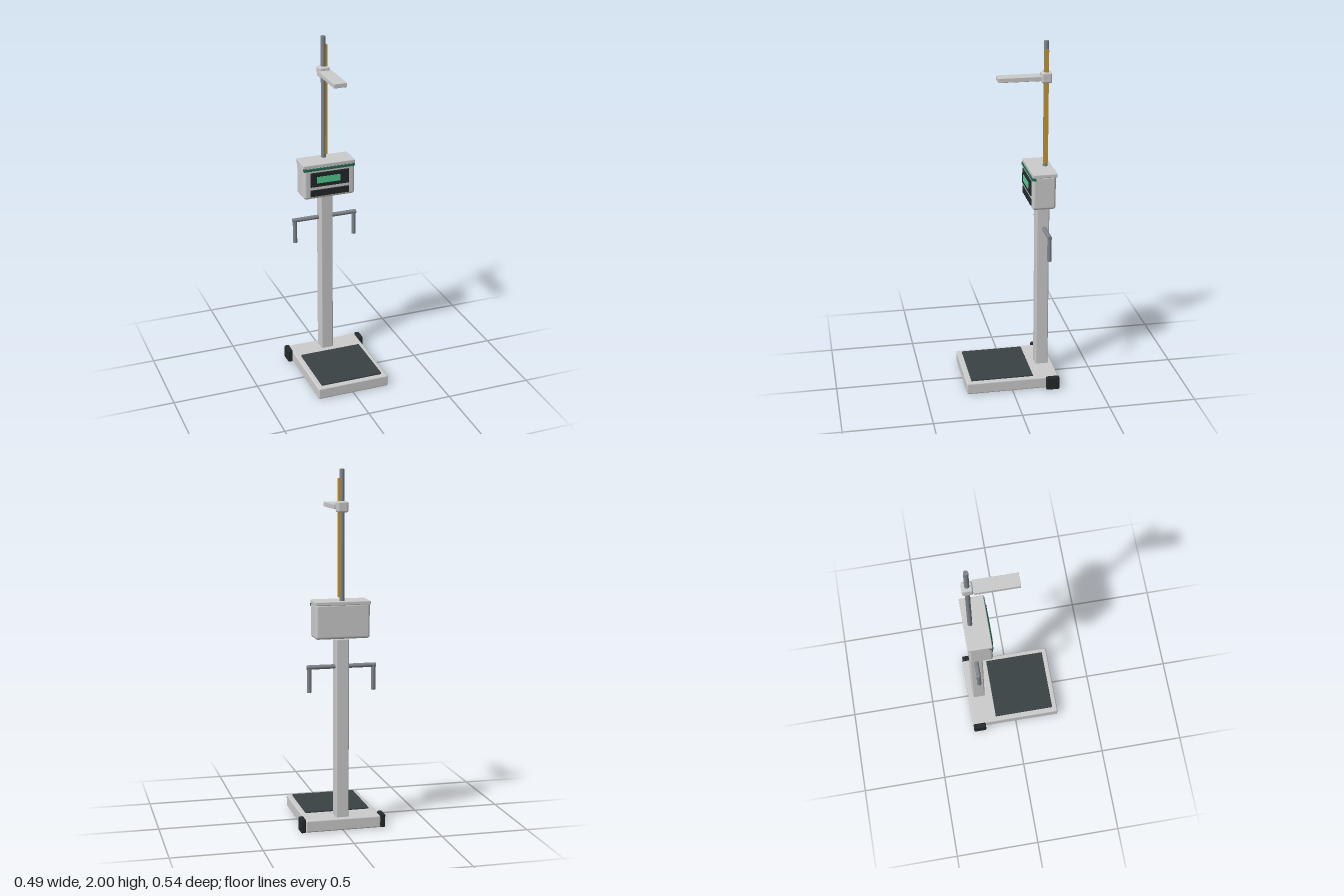
import * as THREE from 'three';
import { RoundedBoxGeometry } from 'three/addons/geometries/RoundedBoxGeometry.js';

const mat = (color) => new THREE.MeshStandardMaterial({ color });
const grey = mat(0xcccccc);
const dark = mat(0x394144);
const black = mat(0x24292b);
const steel = mat(0x7f858b);
const green = mat(0x2a6b55);
const lit = mat(0x58cf92);
const gold = mat(0xc8962a);

export function createModel() {
  const model = new THREE.Group();

  const add = (name, geometry, material, x, y, z) => {
    const mesh = new THREE.Mesh(geometry, material);
    mesh.name = name;
    mesh.position.set(x, y, z);
    model.add(mesh);
    return mesh;
  };

  // box given by its [min, max] along each axis; r rounds the edges
  const box = (name, material, [x0, x1], [y0, y1], [z0, z1], r = 0) => {
    const size = [x1 - x0, y1 - y0, z1 - z0];
    const geometry = r ? new RoundedBoxGeometry(...size, 3, r) : new THREE.BoxGeometry(...size);
    return add(name, geometry, material, (x0 + x1) / 2, (y0 + y1) / 2, (z0 + z1) / 2);
  };

  // weighing platform with rubber mat
  box('platform', grey, [-0.214, 0.214], [0.002, 0.07], [-0.27, 0.267], 0.008);
  box('platformMat', dark, [-0.185, 0.185], [0.065, 0.079], [-0.123, 0.237], 0.003);

  // transport wheel blocks at the rear corners
  for (const s of [-1, 1]) {
    const x = [0.213 * s, 0.243 * s].sort((a, b) => a - b);
    box(s > 0 ? 'leftWheelBlock' : 'rightWheelBlock', black, x, [0, 0.078], [-0.27, -0.193], 0.008);
  }

  // column
  box('column', grey, [-0.037, 0.037], [0.06, 1.08], [-0.243, -0.168], 0.008);

  // handle bar with two hanging grips
  const handleZ = -0.212;
  const bar = add('handleBar', new THREE.CylinderGeometry(0.0125, 0.0125, 0.39, 16), steel, 0, 0.924, handleZ);
  bar.rotation.z = Math.PI / 2;
  for (const s of [-1, 1]) {
    add(s > 0 ? 'leftGrip' : 'rightGrip', new THREE.CylinderGeometry(0.0125, 0.0125, 0.14, 16),
      steel, 0.182 * s, 0.854, handleZ);
  }

  // display head
  box('headHousing', grey, [-0.153, 0.153], [1.08, 1.275], [-0.253, -0.121], 0.015);
  box('headLid', grey, [-0.155, 0.155], [1.267, 1.288], [-0.26, -0.123], 0.004);
  box('headTrim', green, [-0.154, 0.154], [1.251, 1.267], [-0.14, -0.118], 0.002);
  box('displayPanel', black, [-0.116, 0.116], [1.155, 1.241], [-0.128, -0.114], 0.003);
  box('displayScreen', lit, [-0.08, 0.06], [1.178, 1.216], [-0.122, -0.111]);
  box('keyStrip', black, [-0.116, 0.116], [1.096, 1.136], [-0.128, -0.116], 0.003);

  // height rod with measuring tape on its left side
  const rodZ = -0.222;
  add('heightRod', new THREE.CylinderGeometry(0.0135, 0.0135, 0.73, 24), steel, 0, 1.635, rodZ);
  box('measuringTape', gold, [0.01, 0.021], [1.308, 1.952], [-0.233, -0.211]);

  // sliding clamp and head plate
  box('sliderClamp', grey, [-0.03, 0.03], [1.768, 1.828], [-0.251, -0.193], 0.01);
  box('headPlate', grey, [-0.038, 0.038], [1.785, 1.81], [-0.192, 0.05], 0.002);

  return model;
}
